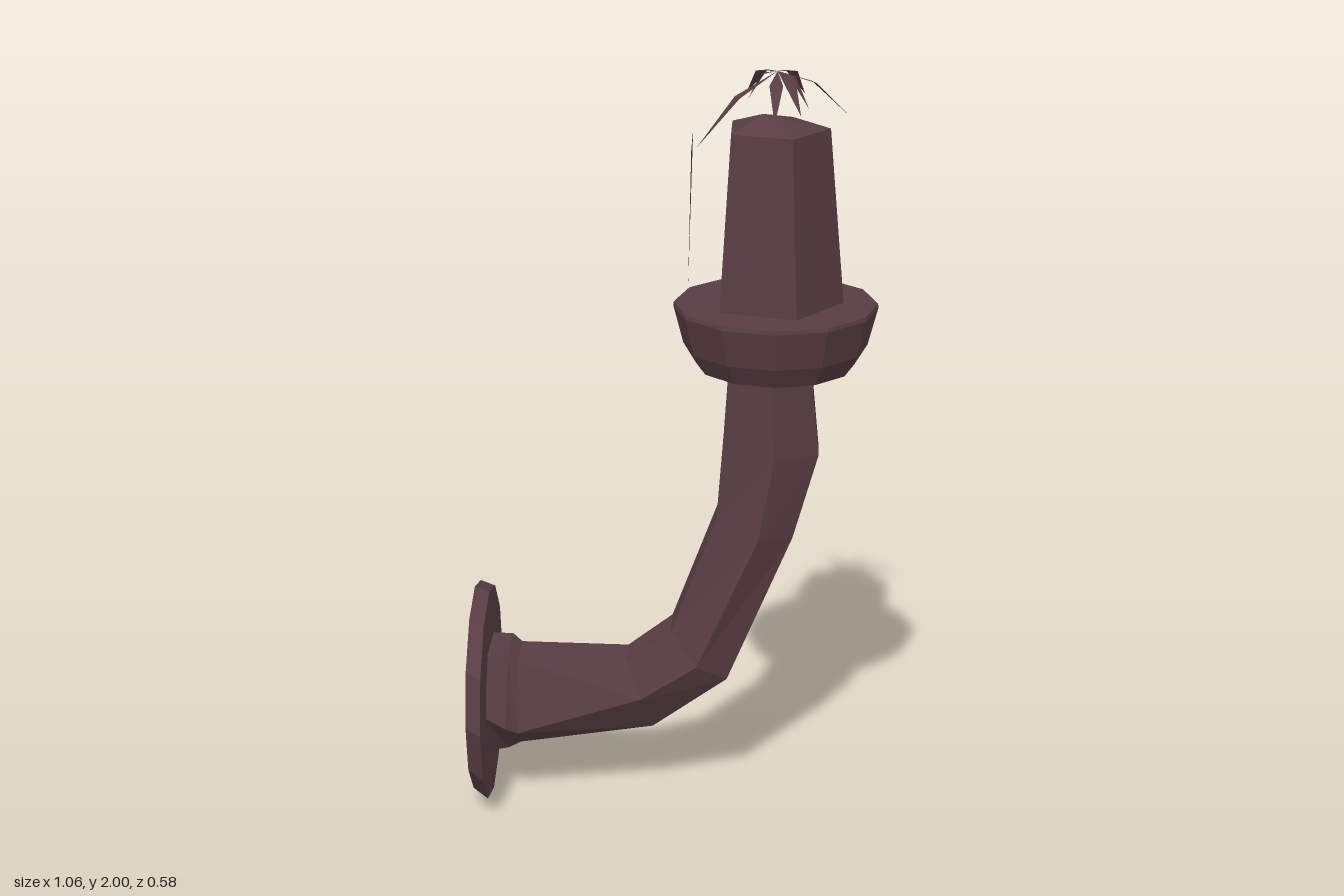
import * as THREE from 'three';

const iron = new THREE.MeshStandardMaterial({ color: 0x583d43, flatShading: true, side: THREE.DoubleSide });
iron.name = 'dark iron';

// Flat-shaded skin over a list of rings with equal point counts
function loft(rings) {
  const pos = [];
  for (let i = 0; i < rings.length - 1; i++) {
    const n = rings[i].length;
    for (let j = 0; j < n; j++) {
      const k = (j + 1) % n;
      const a = rings[i][j], b = rings[i][k], c = rings[i + 1][k], d = rings[i + 1][j];
      pos.push(...a, ...b, ...c, ...a, ...c, ...d);
    }
  }
  return fromTriangles(pos);
}

function fromTriangles(pos) {
  const g = new THREE.BufferGeometry();
  g.setAttribute('position', new THREE.Float32BufferAttribute(pos, 3));
  g.computeVertexNormals();
  return g;
}

// Six-sided mirrored section: inner, middle and outer points [x, y, half width]
const section = ([inner, mid, outer]) => [
  ...[inner, mid, outer],
  ...[outer, mid, inner].map(([x, y, z]) => [x, y, -z]),
];

// Ring standing in the wall plane
const wallRing = (x, r, y, z) => Array.from({ length: 12 }, (_, i) => {
  const a = i * Math.PI / 6;
  return [x, y + r * Math.cos(a), z + r * Math.sin(a)];
});

// Level five-sided ring with a corner towards +x (runs so that faces point out)
const candleRing = (x, y, r) => Array.from({ length: 5 }, (_, i) => {
  const a = -i * Math.PI * 2 / 5;
  return [x + r * Math.cos(a), y, r * Math.sin(a)];
});

export function createModel() {
  const model = new THREE.Group();
  const add = (name, geometry) => {
    const mesh = new THREE.Mesh(geometry, iron);
    mesh.name = name;
    model.add(mesh);
    return mesh;
  };

  // Wall plate: thin disc with an open middle
  add('wallPlate', loft([
    wallRing(-0.52, 0.14, 0.29, 0),
    wallRing(-0.52, 0.283, 0.308, -0.012),
    wallRing(-0.48, 0.29, 0.29, 0),
    wallRing(-0.48, 0.14, 0.29, 0),
  ]));

  // Collar and bent arm
  const armStart = [[-0.4, 0.41, 0.068], [-0.4, 0.22, 0.116], [-0.4, 0.155, 0.03]];
  add('collar', loft([
    [[-0.485, 0.43, 0.08], [-0.485, 0.28, 0.15], [-0.485, 0.14, 0.06]],
    [[-0.425, 0.43, 0.075], [-0.43, 0.24, 0.136], [-0.43, 0.145, 0.045]],
    armStart,
  ].map(section)));
  add('arm', loft([
    armStart,
    [[-0.11, 0.41, 0.057], [-0.07, 0.32, 0.105], [-0.04, 0.21, 0.03]],
    [[0.01, 0.5, 0.06], [0.08, 0.42, 0.112], [0.16, 0.37, 0.07]],
    [[0.13, 0.82, 0.06], [0.24, 0.78, 0.108], [0.33, 0.77, 0.05]],
    [[0.145, 1.02, 0.06], [0.28, 1.0, 0.11], [0.395, 1.0, 0.045]],
    [[0.16, 1.25, 0.06], [0.27, 1.25, 0.112], [0.37, 1.25, 0.055]],
  ].map(section)));

  // Drip cup
  const cup = new THREE.LatheGeometry([
    [0, 1.235], [0.205, 1.235], [0.238, 1.29], [0.264, 1.39], [0.262, 1.4], [0, 1.4],
  ].map(([x, y]) => new THREE.Vector2(x, y)), 12);
  add('dripCup', cup).position.set(0.278, 0, 0.003);

  // Candle with a low, off-centre peak
  const peak = Array(5).fill([0.24, 1.895, 0.02]);
  add('candle', loft([candleRing(0.277, 1.4, 0.175), candleRing(0.273, 1.855, 0.138), peak]));

  // Drooping spikes that meet above the candle
  const top = new THREE.Vector3(0.275, 2, 0);
  const spikes = [];
  const tips = [
    [0.075, 1.82, 0.08], [0.195, 1.91, -0.17], [0.345, 1.91, -0.165], [0.46, 1.87, -0.075],
    [0.355, 1.91, 0.03], [0.27, 1.9, 0.18], [0.335, 1.91, 0.12], [0.2, 1.92, -0.03],
  ];
  for (const t of tips) {
    const tip = new THREE.Vector3(...t);
    const mid = top.clone().lerp(tip, 0.5);
    mid.y += 0.03;
    const side = new THREE.Vector3(tip.z - top.z, 0, top.x - tip.x).setLength(0.017);
    const l = mid.clone().add(side), r = mid.clone().sub(side);
    for (const p of [top, l, r, l, tip, r]) spikes.push(p.x, p.y, p.z);
  }
  add('spikes', fromTriangles(spikes));

  // Thin sliver hanging beside the candle
  add('sliver', fromTriangles([0.064, 1.85, -0.008, 0.052, 1.43, 0, 0.06, 1.8, 0.012]));

  return model;
}
